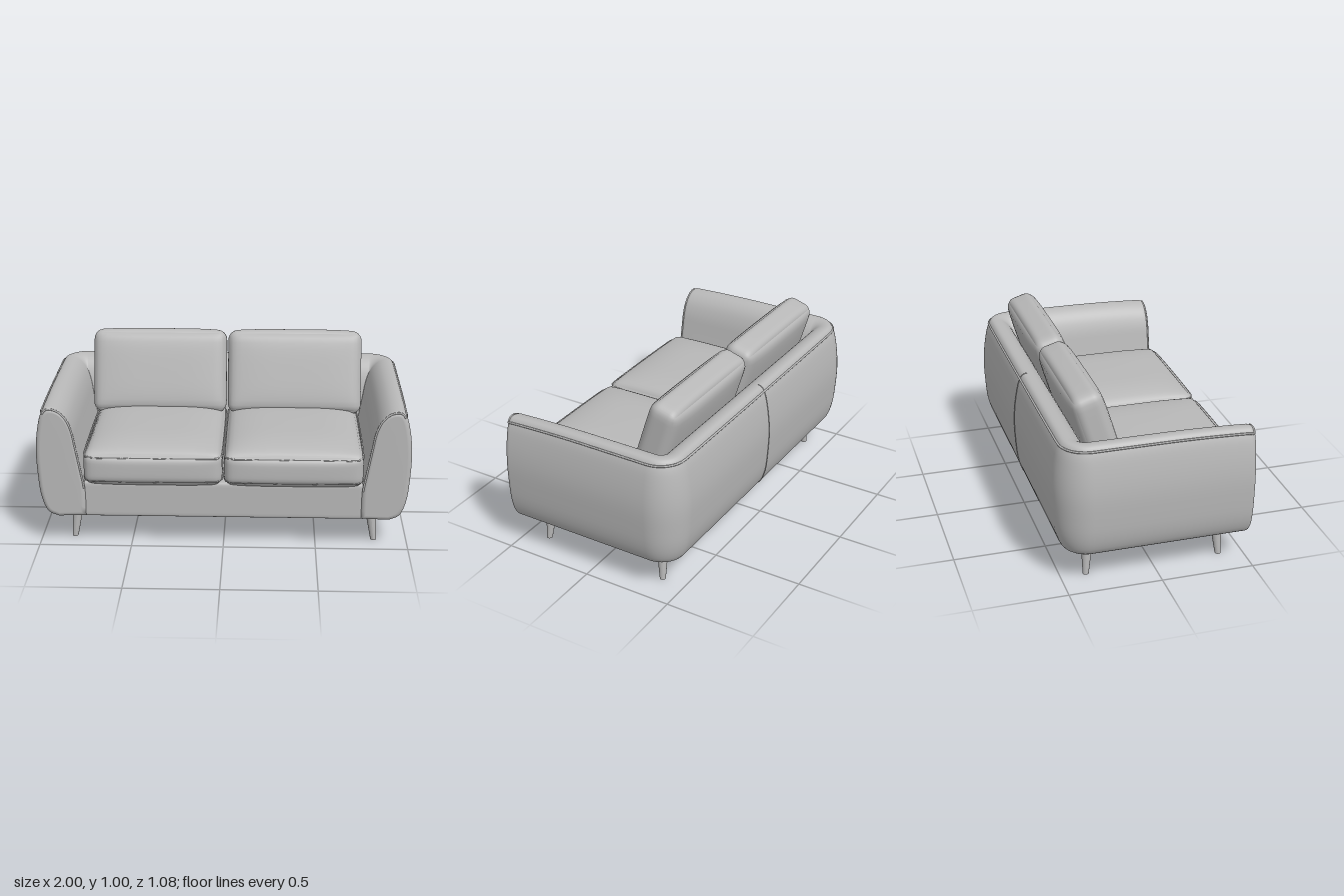
import * as THREE from 'three';
import { mergeVertices } from 'three/addons/utils/BufferGeometryUtils.js';

const fabric = new THREE.MeshStandardMaterial({ color: 0xb8b8b8 });
fabric.name = 'grey';

const BACK = -0.54, CORNER = 0.18, FRONT = 0.5, ROUND = 0.03;

// Arm and back cross-section: [inset from the outside, height]
const section = new THREE.CatmullRomCurve3([
  [0.11, 0.165], [0.055, 0.19], [0.02, 0.27], [0.003, 0.42], [0, 0.55], [0.014, 0.68],
  [0.034, 0.765], [0.055, 0.798], [0.085, 0.803], [0.125, 0.79], [0.165, 0.75], [0.195, 0.68],
  [0.215, 0.58], [0.245, 0.42], [0.26, 0.33], [0.262, 0.17],
].map(([d, y]) => new THREE.Vector3(d, y, 0)), false, 'centripetal').getPoints(60);

// Stations round the U: f = 0 front to 1 corner, t = corner angle, a = shrink at the rounded front
const half = [];
for (let i = 6; i >= 0; i--) {
  const q = (i / 6) * Math.PI / 2;
  half.push({ f: 0, t: 0, a: 0.028 * (1 - Math.cos(q)), z: FRONT - ROUND + ROUND * Math.sin(q) });
}
for (let i = 1; i <= 8; i++) half.push({ f: i / 8, t: 0, a: 0, z: FRONT - ROUND });
for (let i = 1; i <= 12; i++) half.push({ f: 1, t: (i / 12) * Math.PI / 2, a: 0, z: 0 });
const stations = [
  ...half.map(s => ({ ...s, side: 1 })),
  ...half.slice().reverse().map(s => ({ ...s, side: -1 })),
];

function shellPoint(d, y, s) {
  d = 0.13 + (d - 0.13) * (1 - s.a / 0.13);
  y = 0.48 + (y - 0.48) * (1 - s.a / 0.32);
  const r = Math.max(CORNER - d, 0.004);
  const cz = BACK + d + r;
  const z = s.f < 1 ? THREE.MathUtils.lerp(s.z, cz, s.f) : cz - r * Math.sin(s.t);
  const x = 1 - d - r + r * Math.cos(s.t);
  // the top dips gently towards the front
  y -= 0.015 * THREE.MathUtils.smoothstep(y, 0.6, 0.8) * Math.max(z / 0.5, 0) ** 2;
  return new THREE.Vector3(x * s.side, y, z);
}

function shellGeometry() {
  const pos = [], index = [], n = section.length;
  stations.forEach(s => section.forEach(p => pos.push(...shellPoint(p.x, p.y, s).toArray())));
  for (let i = 0; i < stations.length - 1; i++) {
    for (let j = 0; j < n; j++) {
      const k = (j + 1) % n, a = i * n, b = a + n;
      index.push(a + j, b + j, a + k, b + j, b + k, a + k);
    }
  }
  // front faces of the arms
  const last = (stations.length - 1) * n, c = stations.length * n;
  pos.push(0.87, 0.46, FRONT, -0.87, 0.46, FRONT);
  for (let j = 0; j < n; j++) {
    const k = (j + 1) % n;
    index.push(j, k, c, last + k, last + j, c + 1);
  }
  const g = new THREE.BufferGeometry();
  g.setAttribute('position', new THREE.Float32BufferAttribute(pos, 3));
  g.setIndex(index);
  g.computeVertexNormals();
  return g;
}

// Rounded, padded box; puff = bulge along x, y, z
function cushionGeometry(w, h, d, r, puff = [0, 0, 0]) {
  let g = new THREE.BoxGeometry(2, 2, 2, 24, 16, 24);
  const p = g.attributes.position, v = new THREE.Vector3(), core = new THREE.Vector3();
  const hs = new THREE.Vector3(w / 2, h / 2, d / 2);
  const ease = t => Math.sin(t * Math.PI / 2);
  const fall = t => 1 - t ** 4;
  for (let i = 0; i < p.count; i++) {
    const u = [ease(p.getX(i)), ease(p.getY(i)), ease(p.getZ(i))];
    v.fromArray(u).multiply(hs);
    core.set(
      THREE.MathUtils.clamp(v.x, r - hs.x, hs.x - r),
      THREE.MathUtils.clamp(v.y, r - hs.y, hs.y - r),
      THREE.MathUtils.clamp(v.z, r - hs.z, hs.z - r));
    v.sub(core).setLength(r).add(core);
    v.x += puff[0] * u[0] * fall(u[1]) * fall(u[2]);
    v.y += puff[1] * u[1] * fall(u[0]) * fall(u[2]);
    v.z += puff[2] * u[2] * fall(u[0]) * fall(u[1]);
    p.setXYZ(i, v.x, v.y, v.z);
  }
  g.deleteAttribute('normal');
  g.deleteAttribute('uv');
  g = mergeVertices(g, 1e-5);
  g.computeVertexNormals();
  return g;
}

function pipe(points, radius, closed = false) {
  const curve = new THREE.CatmullRomCurve3(points, closed, 'centripetal');
  return new THREE.TubeGeometry(curve, points.length * 3, radius, 6, closed);
}

// Piping loop round a cushion at height y
function seamLoop(w, d, r, y) {
  const pts = [];
  for (let c = 0; c < 4; c++) {
    const sx = c === 0 || c === 3 ? 1 : -1, sz = c < 2 ? 1 : -1;
    for (let i = 0; i <= 4; i++) {
      const t = (c + i / 4) * Math.PI / 2;
      pts.push(new THREE.Vector3(sx * (w / 2 - r) + r * Math.cos(t), y, sz * (d / 2 - r) + r * Math.sin(t)));
    }
  }
  return pipe(pts, 0.005, true);
}

export function createModel() {
  const sofa = new THREE.Group();
  sofa.name = 'sofa';
  const add = (name, geometry, x = 0, y = 0, z = 0, parent = sofa) => {
    const m = new THREE.Mesh(geometry, fabric);
    m.name = name;
    m.position.set(x, y, z);
    parent.add(m);
    return m;
  };

  add('armsAndBack', shellGeometry());
  add('base', cushionGeometry(1.56, 0.205, 0.92, 0.018), 0, 0.268, 0.025);

  // piping round the top edge, down the arm fronts, and the back seam
  add('topPiping', pipe(stations.slice(4, -4).map(s => shellPoint(0.038, 0.776, s)), 0.006));
  for (const i of [3, stations.length - 4]) {
    const pts = section.filter((p, j) => j > 24 && j < 57).map(p => shellPoint(p.x, p.y, stations[i]));
    add('armPiping', pipe(pts, 0.006));
  }
  const middle = stations[half.length - 1];
  add('backSeam', pipe(section.slice(0, 32).map(p => {
    const v = shellPoint(p.x, p.y, middle);
    return v.setX(0);
  }), 0.003));

  for (const side of [1, -1]) {
    // seat cushion with two seams
    const seat = new THREE.Group();
    seat.name = 'seatCushion';
    seat.position.set(side * 0.376, 0.453, 0.105);
    sofa.add(seat);
    add('seatPad', cushionGeometry(0.744, 0.18, 0.82, 0.045, [0, 0.045, 0.022]), 0, 0, 0, seat);
    add('upperSeam', seamLoop(0.738, 0.82, 0.045, 0.066), 0, 0, 0, seat);
    add('lowerSeam', seamLoop(0.738, 0.82, 0.045, -0.066), 0, 0, 0, seat);

    // leaning back cushion
    const back = add('backCushion', cushionGeometry(0.762, 0.465, 0.165, 0.05, [0, 0.012, 0.018]),
      side * 0.385, 0.752, -0.268);
    back.rotation.x = -0.3;

    // tapered, splayed legs
    for (const [name, zTop, zFoot] of [['frontLeg', 0.358, 0.37], ['backLeg', -0.35, -0.363]]) {
      const g = new THREE.CylinderGeometry(0.032, 0.016, 0.19, 20);
      const p = g.attributes.position;
      for (let i = 0; i < p.count; i++) {
        const k = 0.5 - p.getY(i) / 0.19;
        p.setX(i, p.getX(i) + side * 0.022 * k);
        p.setZ(i, p.getZ(i) + (zFoot - zTop) * k);
      }
      g.computeVertexNormals();
      add(name, g, side * 0.8, 0.095, zTop);
    }
  }
  return sofa;
}
